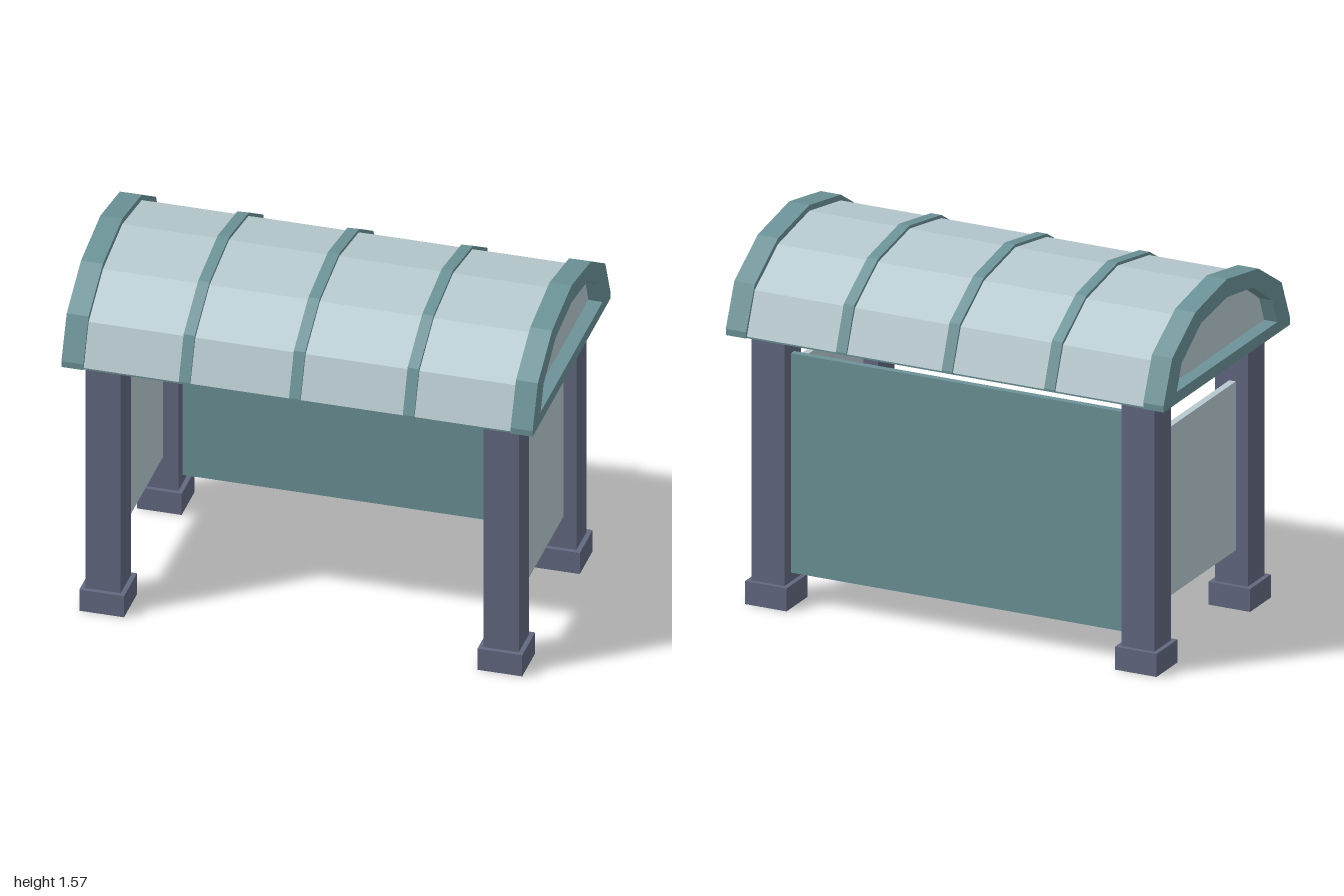
import * as THREE from 'three';

export function createModel() {
  const group = new THREE.Group();
  const mat = (name, color) => {
    const m = new THREE.MeshStandardMaterial({ color });
    m.name = name;
    return m;
  };
  const teal = mat('teal', 0x6b9297);
  const glass = mat('pale glass', 0xb6c9cf);
  const slate = mat('slate', 0x626880);

  const add = (name, geometry, material) => {
    const mesh = new THREE.Mesh(geometry, material);
    mesh.name = name;
    group.add(mesh);
    return mesh;
  };

  // Box given by its min and max corners
  const box = (name, material, [x0, y0, z0], [x1, y1, z1]) => {
    const mesh = add(name, new THREE.BoxGeometry(x1 - x0, y1 - y0, z1 - z0), material);
    mesh.position.set((x0 + x1) / 2, (y0 + y1) / 2, (z0 + z1) / 2);
  };

  // Symmetric arch outline from half of its (z, y) points, base to crown
  const arch = (half, Type = THREE.Shape) => {
    const all = [...half, ...half.slice(0, -1).reverse().map(([z, y]) => [-z, y])];
    return new Type(all.map(([z, y]) => new THREE.Vector2(z, y)));
  };

  // Extrude an arch along x
  const archBar = (name, shape, material, x0, x1) => {
    const geo = new THREE.ExtrudeGeometry(shape, { depth: x1 - x0, bevelEnabled: false });
    geo.rotateY(Math.PI / 2).translate(x0, 0, 0);
    add(name, geo, material);
  };

  // Posts with square feet
  for (const sx of [-1, 1]) {
    for (const sz of [-1, 1]) {
      const post = new THREE.Group();
      post.name = 'post';
      const shaft = new THREE.Mesh(new THREE.BoxGeometry(0.15, 1.09, 0.15), slate);
      shaft.name = 'postShaft';
      shaft.position.y = 0.64;
      const foot = new THREE.Mesh(new THREE.BoxGeometry(0.19, 0.1, 0.19), slate);
      foot.name = 'postFoot';
      foot.position.y = 0.05;
      post.add(shaft, foot);
      post.position.set(sx * 0.845, 0, sz * 0.423);
      group.add(post);
    }
  }

  // Wall panels
  box('backPanel', teal, [-0.775, 0.14, -0.44], [0.775, 1.095, -0.41]);
  box('sidePanelRight', glass, [-0.865, 0.25, -0.35], [-0.835, 0.985, 0.35]);
  box('sidePanelLeft', glass, [0.835, 0.25, -0.35], [0.865, 0.985, 0.35]);

  // Faceted roof canopy and its underside
  const canopy = [[0.567, 1.187], [0.495, 1.365], [0.285, 1.495], [0, 1.545]];
  archBar('roofCanopy', arch(canopy), glass, -0.94, 0.94);
  box('roofUnderside', teal, [-0.91, 1.18, -0.567], [0.91, 1.187, 0.567]);

  // Slim ribs over the canopy
  const rib = [[0.573, 1.183], [0.573, 1.193], [0.502, 1.377], [0.287, 1.508], [0, 1.558]];
  for (const x of [-0.478, -0.01, 0.473]) archBar('roofRib', arch(rib), teal, x - 0.024, x + 0.024);

  // End frames with arched openings
  const frame = arch([[0.573, 1.18], [0.573, 1.207], [0.495, 1.39], [0.285, 1.52], [0, 1.57]]);
  frame.holes.push(arch([[0.455, 1.23], [0.41, 1.34], [0.235, 1.455], [0, 1.49]], THREE.Path));
  archBar('endFrameRight', frame, teal, -1, -0.907);
  archBar('endFrameLeft', frame, teal, 0.907, 1);

  return group;
}
